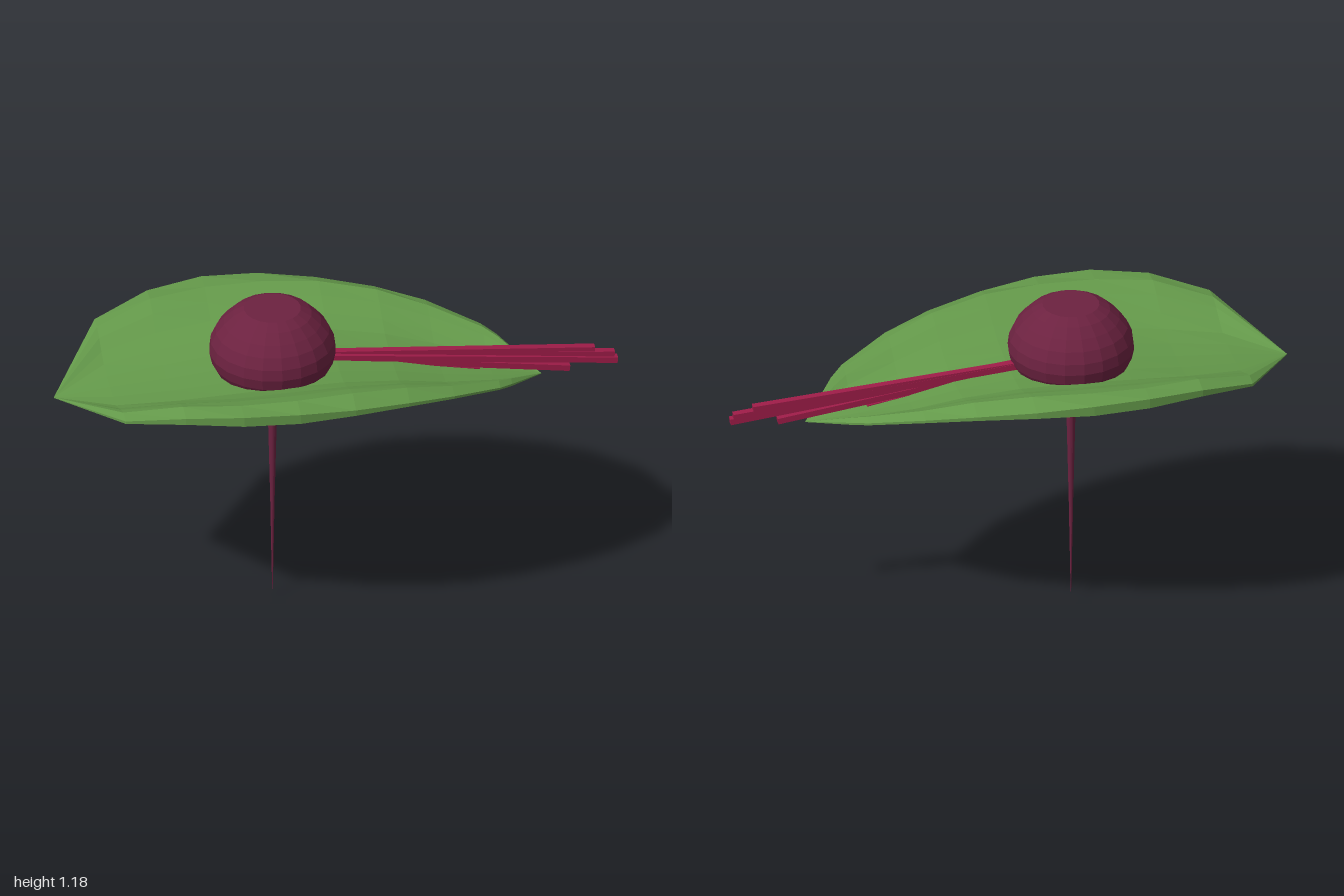
import * as THREE from 'three';

const root = new THREE.MeshStandardMaterial({ color: 0x6c2240, flatShading: true });
root.name = 'beet purple';
const stalk = new THREE.MeshStandardMaterial({ color: 0x9e1c48, flatShading: true });
stalk.name = 'stalk crimson';
const green = new THREE.MeshStandardMaterial({ color: 0x64994a, flatShading: true, side: THREE.DoubleSide });
green.name = 'leaf green';

// Leaf stations: x, half width, midrib height, crest height, rim height, rim thickness
const STATIONS = [
  [-1, 0, 0.885, 0.885, 0.885, 0], [-0.8, 0.35, 0.908, 0.98, 0.977, 0.008],
  [-0.6, 0.44, 0.924, 1.03, 1.022, 0.022], [-0.4, 0.485, 0.945, 1.037, 1.034, 0.034],
  [-0.2, 0.487, 0.955, 1.04, 1.028, 0.034], [0, 0.457, 0.95, 1.037, 1.01, 0.02],
  [0.2, 0.4, 0.925, 1.012, 0.987, 0.012], [0.37, 0.33, 0.887, 0.968, 0.957, 0.008],
  [0.55, 0.22, 0.855, 0.917, 0.909, 0.006], [0.6, 0.17, 0.845, 0.896, 0.89, 0.006],
  [0.73, 0, 0.82, 0.82, 0.82, 0],
];

// Half cross-section: share of the half width, share of the rise from midrib to crest
const SECTION = [[0, 0], [0.2, 0.03], [0.4, 0.13], [0.55, 0.4], [0.7, 0.76], [0.84, 1]];

// Cupped leaf: flat along the midrib, steep sides, rim thicker than the middle
function leafGeometry() {
  const pos = [], idx = [];
  for (const [x, w, mid, crest, rim, thick] of STATIONS) {
    const half = SECTION.map(([t, r]) => [t * w, mid + (crest - mid) * r, thick * t * t]);
    half.push([w, rim, thick]);
    const across = [...half.slice(1).reverse().map(([z, y, d]) => [-z, y, d]), ...half];
    for (const [z, y] of across) pos.push(x, y, z);
    for (const [z, y, d] of across.reverse()) pos.push(x, y - d - 0.002, z);
  }
  const n = pos.length / 3 / STATIONS.length;
  for (let i = 0; i < STATIONS.length - 1; i++) {
    for (let j = 0; j < n; j++) {
      const a = i * n + j, b = i * n + (j + 1) % n;
      idx.push(a, b, b + n, a, b + n, a + n);
    }
  }
  const g = new THREE.BufferGeometry();
  g.setAttribute('position', new THREE.Float32BufferAttribute(pos, 3));
  g.setIndex(idx);
  g.computeVertexNormals();
  return g;
}

// Square rod between two points
function rod(from, to, height, width) {
  const a = new THREE.Vector3(...from), b = new THREE.Vector3(...to);
  const m = new THREE.Mesh(new THREE.BoxGeometry(a.distanceTo(b), height, width), stalk);
  m.position.copy(a).add(b).multiplyScalar(0.5);
  m.rotation.order = 'YZX';
  m.rotation.z = Math.atan2(b.y - a.y, b.x - a.x);
  m.rotation.y = -Math.atan2(b.z - a.z, b.x - a.x);
  return m;
}

export function createModel() {
  const model = new THREE.Group();
  model.name = 'beetroot';

  // Bulb and long tapering taproot in one turned profile
  const profile = [
    [0, 0], [0.003, 0.12], [0.008, 0.4], [0.016, 0.74], [0.022, 0.765], [0.05, 0.795], [0.105, 0.838],
    [0.155, 0.883], [0.192, 0.93], [0.214, 0.97], [0.223, 1.01], [0.218, 1.05],
    [0.2, 1.09], [0.172, 1.125], [0.138, 1.157], [0.1, 1.178], [0, 1.178],
  ].map(([r, y]) => new THREE.Vector2(r, y));
  const bulb = new THREE.Mesh(new THREE.LatheGeometry(profile, 20), root);
  bulb.name = 'bulb';
  bulb.position.x = -0.224;
  model.add(bulb);

  const leaf = new THREE.Mesh(leafGeometry(), green);
  leaf.name = 'leaf';
  model.add(leaf);

  // Fan of thin stalks leaving the side of the bulb: start height and z, then tip
  const stalks = new THREE.Group();
  stalks.name = 'stalks';
  const fan = [
    [0.972, -0.014, 0.92, 0.9, -0.008], [0.968, 0.002, 1, 0.855, 0],
    [0.963, -0.006, 0.83, 0.838, 0], [0.952, -0.006, 0.51, 0.855, -0.004],
    [0.97, -0.016, 0.99, 0.876, -0.006],
  ];
  for (const [y0, z0, x, y, z] of fan) {
    stalks.add(rod([-0.1, y0, z0], [x, y, z], 0.022, 0.026));
  }
  model.add(stalks);
  return model;
}
